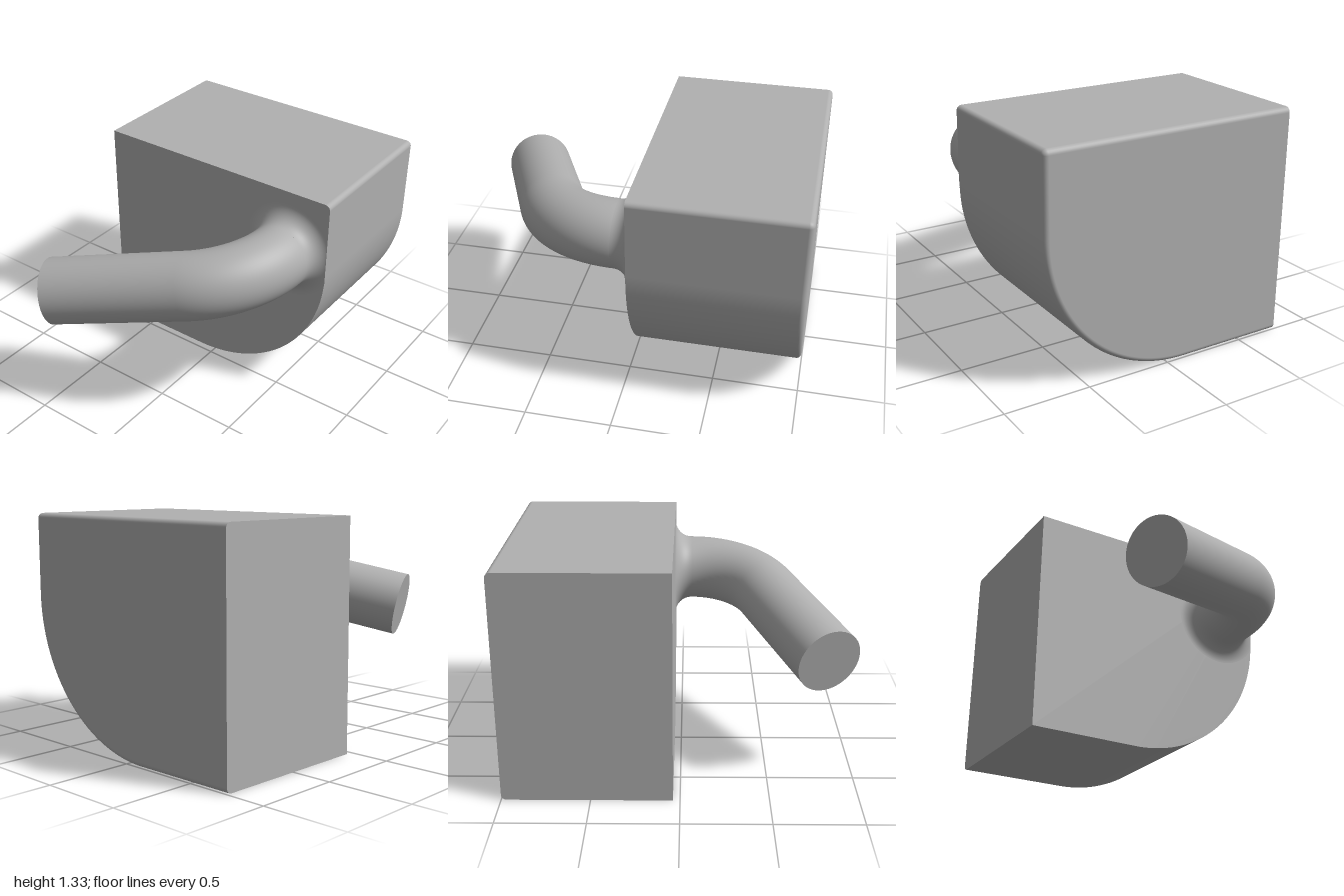
import * as THREE from 'three';

const W = 0.76, H = 1.33, FRONT = -0.04, BACK = -1, EDGE = 0.03;
const PIPE_R = 0.193, FILLET = 0.1, PIPE_X = 0.507, PIPE_Y = 0.964;

// Pipe centreline: a circular bend followed by a straight run
class BentPath extends THREE.Curve {
  constructor(start, dir0, dir1, tangentLength, run) {
    super();
    this.angle = dir0.angleTo(dir1);
    this.radius = tangentLength / Math.tan(this.angle / 2);
    this.start = start;
    this.d0 = dir0;
    this.side = dir1.clone().addScaledVector(dir0, -dir0.dot(dir1)).normalize();
    this.d1 = dir1;
    this.run = run;
  }
  getPoint(t, target = new THREE.Vector3()) {
    const arc = this.radius * this.angle;
    const s = t * (arc + this.run);
    const a = Math.min(s / this.radius, this.angle);
    return target.copy(this.start)
      .addScaledVector(this.d0, this.radius * Math.sin(a))
      .addScaledVector(this.side, this.radius * (1 - Math.cos(a)))
      .addScaledVector(this.d1, Math.max(0, s - arc));
  }
}

// Block outline from bottom left, round the big curve, to top left
function outline() {
  const R = 0.87, pts = [];
  const add = (x, y, r, deg) => {
    const a = THREE.MathUtils.degToRad(deg);
    pts.push({ x, y, r, nx: Math.cos(a), ny: Math.sin(a) });
  };
  add(-W, R, R, -90);
  for (let i = 0; i <= 48; i++) add(W - R, R, R, -90 + (90 * i) / 48);
  for (let i = 0; i <= 8; i++) add(W - EDGE, H - EDGE, EDGE + 0.0005, (90 * i) / 8);
  add(-W, H - EDGE, EDGE, 90);
  return pts;
}

const inset = (p, o) => new THREE.Vector2(p.x + (p.r - o) * p.nx, p.y + (p.r - o) * p.ny);

// Wall with its rounded back edge, swept along z
function wallGeometry(pts, levels) {
  const pos = [], nor = [], idx = [], n = pts.length;
  levels.forEach(({ z, o, a }, j) => {
    pts.forEach((p, i) => {
      const v = inset(p, o);
      pos.push(v.x, v.y, z);
      nor.push(p.nx * Math.cos(a), p.ny * Math.cos(a), -Math.sin(a));
      if (j < levels.length - 1 && i < n - 1) {
        const k = j * n + i;
        idx.push(k, k + n, k + 1, k + 1, k + n, k + n + 1);
      }
    });
  });
  const g = new THREE.BufferGeometry();
  g.setAttribute('position', new THREE.Float32BufferAttribute(pos, 3));
  g.setAttribute('normal', new THREE.Float32BufferAttribute(nor, 3));
  g.setIndex(idx);
  return g;
}

export function createModel() {
  const grey = new THREE.MeshStandardMaterial({ color: 0xb0b0b0 });
  grey.name = 'grey';
  const model = new THREE.Group();
  model.name = 'blockWithPipe';
  const block = new THREE.Group();
  block.name = 'block';
  const pipe = new THREE.Group();
  pipe.name = 'pipe';
  model.add(block, pipe);
  const add = (parent, name, geometry) => {
    const m = new THREE.Mesh(geometry, grey);
    m.name = name;
    parent.add(m);
    return m;
  };

  // Block
  const pts = outline();
  const levels = [{ z: FRONT, o: 0, a: 0 }];
  for (let i = 0; i <= 6; i++) {
    const a = (Math.PI / 2) * (i / 6);
    levels.push({ z: BACK + EDGE * (1 - Math.sin(a)), o: EDGE * (1 - Math.cos(a)), a });
  }
  add(block, 'blockWall', wallGeometry(pts, levels));

  const frontShape = new THREE.Shape(pts.map((p) => inset(p, 0)));
  add(block, 'frontFace', new THREE.ShapeGeometry(frontShape).translate(0, 0, FRONT));

  const backShape = new THREE.Shape(pts.map((p) => {
    const v = inset(p, EDGE);
    return new THREE.Vector2(-v.x, v.y);
  }));
  add(block, 'backFace', new THREE.ShapeGeometry(backShape).rotateY(Math.PI).translate(0, 0, BACK));

  const sideShape = new THREE.Shape([
    ...levels.map((l) => new THREE.Vector2(l.z, l.o)),
    ...levels.slice().reverse().map((l) => new THREE.Vector2(l.z, H - l.o)),
  ]);
  add(block, 'sideFace', new THREE.ShapeGeometry(sideShape).rotateY(-Math.PI / 2).translate(-W, 0, 0));

  // Flared pipe root, trimmed flush with the block's side
  const flare = [];
  for (let i = 0; i <= 16; i++) {
    const a = (Math.PI / 2) * (i / 16);
    flare.push(new THREE.Vector2(
      PIPE_R + FILLET * (1 - Math.sin(a)),
      FRONT + FILLET * (1 - Math.cos(a)),
    ));
  }
  const root = new THREE.LatheGeometry(flare, 64).rotateX(Math.PI / 2).translate(PIPE_X, PIPE_Y, 0);
  const rp = root.attributes.position;
  for (let i = 0; i < rp.count; i++) rp.setX(i, Math.min(rp.getX(i), W));
  add(pipe, 'pipeRoot', root);

  // Bent pipe and its flat end
  const start = new THREE.Vector3(PIPE_X, PIPE_Y, FRONT + FILLET);
  const end = new THREE.Vector3(-0.51, 0.74, 0.825);
  const corner = new THREE.Vector3(PIPE_X, PIPE_Y, 0.388);
  const dir = end.clone().sub(corner).normalize();
  const tangent = corner.z - start.z;
  const path = new BentPath(start, new THREE.Vector3(0, 0, 1), dir, tangent, corner.distanceTo(end) - tangent);
  add(pipe, 'pipeBody', new THREE.TubeGeometry(path, 64, PIPE_R, 64, false));

  const cap = add(pipe, 'pipeEnd', new THREE.CircleGeometry(PIPE_R, 64));
  cap.position.copy(end);
  cap.quaternion.setFromUnitVectors(new THREE.Vector3(0, 0, 1), dir);

  return model;
}
